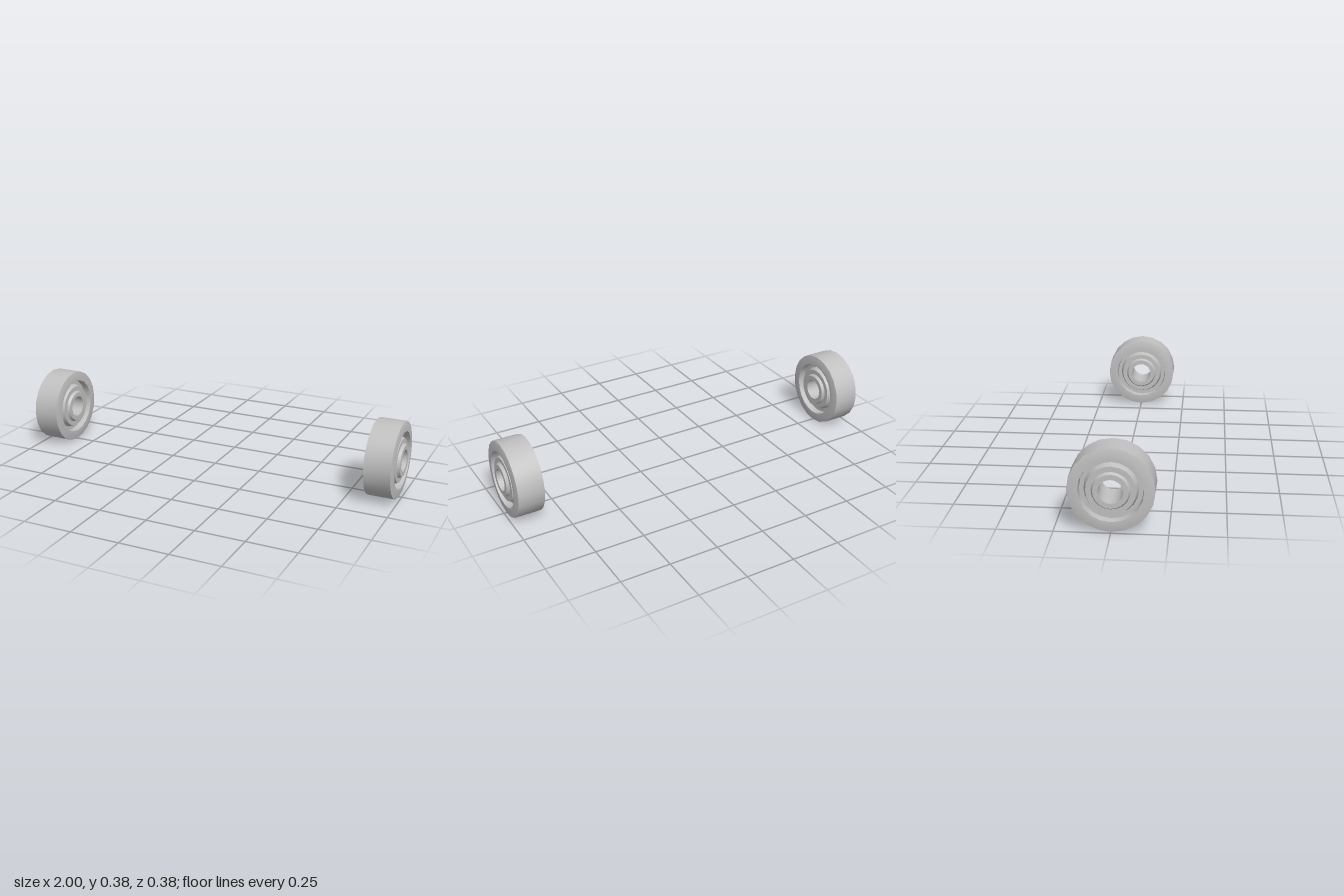
import * as THREE from 'three';
import { toCreasedNormals } from 'three/addons/utils/BufferGeometryUtils.js';

const SIDES = 20;
const RADIUS = 0.1915;

// Closed ring turned about x. half: [radius, offset] from the outer middle to the inner middle,
// mirrored across the wheel's middle plane.
function ring(name, half, material) {
  const up = half.map(([r, d]) => new THREE.Vector2(r, d));
  const down = half.map(([r, d]) => new THREE.Vector2(r, -d)).reverse();
  const points = [...down, ...up, down[0].clone()];
  const geometry = toCreasedNormals(new THREE.LatheGeometry(points, SIDES), 0.4);
  geometry.rotateZ(-Math.PI / 2);
  const mesh = new THREE.Mesh(geometry, material);
  mesh.name = name;
  return mesh;
}

export function createModel() {
  const metal = new THREE.MeshStandardMaterial({ color: 0xc0c0c0 });
  metal.name = 'light grey';

  const model = new THREE.Group();
  model.name = 'wheelPair';

  for (const [name, side] of [['leftWheel', 1], ['rightWheel', -1]]) {
    const wheel = new THREE.Group();
    wheel.name = name;
    wheel.add(
      // outer tread with gently bevelled flanks and a sloped inner wall
      ring('tyre', [[RADIUS, 0.066], [0.165, 0.072], [0.143, 0.072], [0.139, 0.035]], metal),
      // recessed groove floor
      ring('grooveFloor', [[0.141, 0.038], [0.118, 0.038]], metal),
      // raised step with a conical outer wall
      ring('innerDisc', [[0.12, 0.038], [0.11, 0.066], [0.08, 0.066]], metal),
      // protruding hub with an open axle bore
      ring('hub', [[0.086, 0.066], [0.078, 0.08], [0.0545, 0.08]], metal),
    );
    wheel.position.set(side * 0.92, RADIUS, 0);
    model.add(wheel);
  }
  return model;
}
